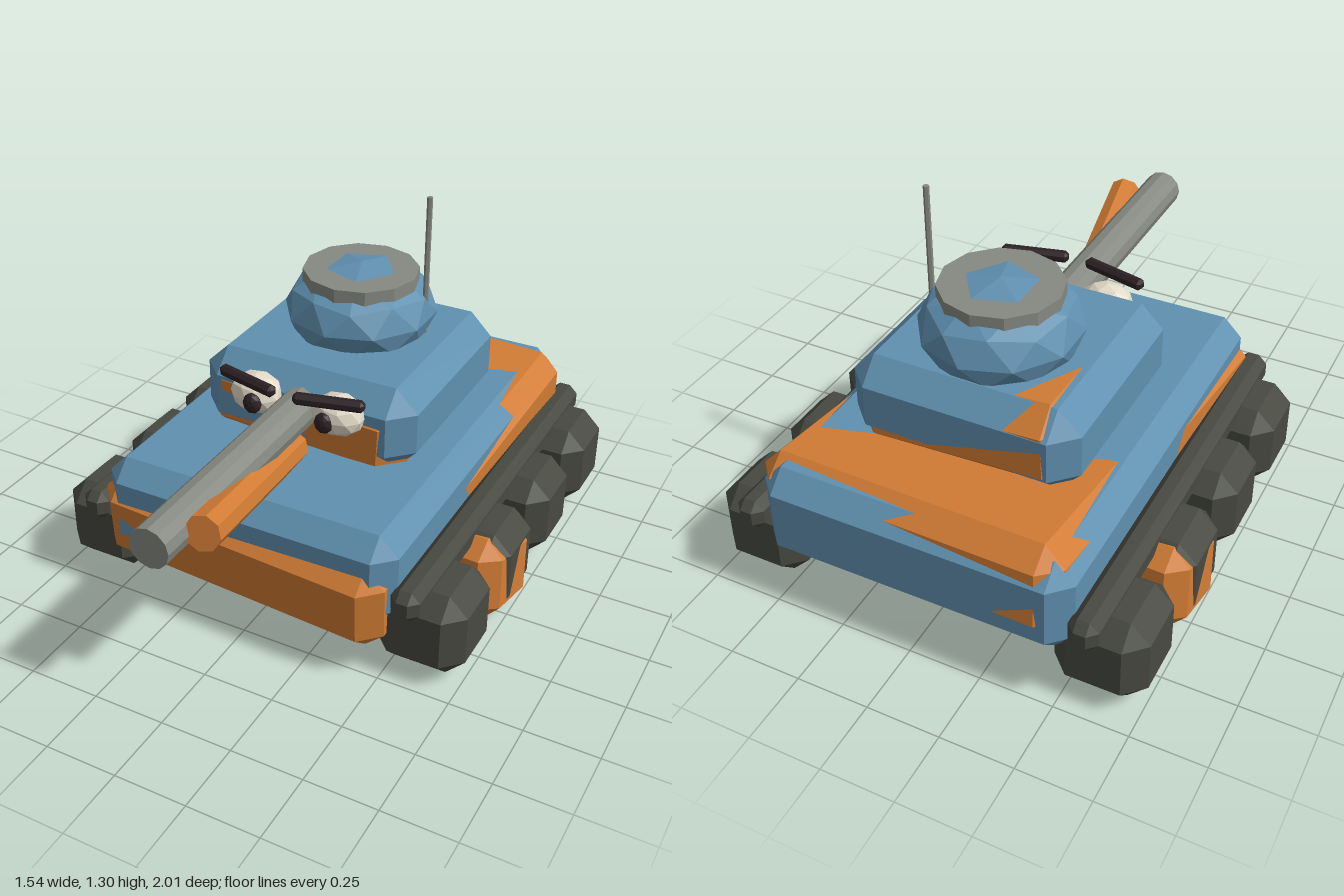
import * as THREE from 'three';
import { ConvexGeometry } from 'three/addons/geometries/ConvexGeometry.js';

const mat = (name, color) => {
  const m = new THREE.MeshStandardMaterial({ color, flatShading: true });
  m.name = name;
  return m;
};

// Box with every edge and corner cut flat by c
function chamferBox(w, h, d, c) {
  const points = [];
  for (const x of [-1, 1]) for (const y of [-1, 1]) for (const z of [-1, 1]) {
    const a = w / 2, b = h / 2, e = d / 2;
    points.push(
      new THREE.Vector3(x * a, y * (b - c), z * (e - c)),
      new THREE.Vector3(x * (a - c), y * b, z * (e - c)),
      new THREE.Vector3(x * (a - c), y * (b - c), z * e));
  }
  return new ConvexGeometry(points);
}

// Faceted ball with a vertex at the top
function facetBall(rx, ry, rz) {
  return new THREE.IcosahedronGeometry(1, 1)
    .rotateZ(Math.atan(2 / (1 + Math.sqrt(5)))).rotateY(Math.PI).scale(rx, ry, rz);
}

export function createModel() {
  const blue = mat('blue paint', 0x6090b0);
  const orange = mat('orange paint', 0xd27c34);
  const grey = mat('grey metal', 0x868a82);
  const dark = mat('dark rubber', 0x474941);
  const black = mat('black', 0x2c2124);
  const cream = mat('eye white', 0xe2dac8);

  const group = new THREE.Group();
  const add = (name, geometry, material, pos, rot = [0, 0, 0]) => {
    const mesh = new THREE.Mesh(geometry, material);
    mesh.name = name;
    mesh.position.set(...pos);
    mesh.rotation.set(...rot);
    group.add(mesh);
    return mesh;
  };
  // Cylinder between two points
  const rod = (name, from, to, r, sides, material) => {
    const a = new THREE.Vector3(...from), b = new THREE.Vector3(...to);
    const dir = b.clone().sub(a);
    const mesh = add(name, new THREE.CylinderGeometry(r, r, dir.length(), sides), material,
      a.clone().add(b).multiplyScalar(0.5).toArray());
    mesh.quaternion.setFromUnitVectors(new THREE.Vector3(0, 1, 0), dir.normalize());
  };

  // Hull and turret, each with a slightly tilted orange shell through it
  add('hull', chamferBox(1.08, 0.34, 1.52, 0.068), blue, [0, 0.36, -0.24]);
  add('hullShell', chamferBox(1.08, 0.325, 1.52, 0.068), orange, [0.003, 0.336, -0.222], [0.085, -0.043, -0.025]);
  add('turret', chamferBox(0.8, 0.305, 0.79, 0.08), blue, [0, 0.643, -0.285]);
  add('turretShell', chamferBox(0.76, 0.305, 0.79, 0.08), orange, [-0.005, 0.624, -0.284], [0.03, -0.008, -0.055]);

  // Cupola
  add('dome', facetBall(0.27, 0.17, 0.28), blue, [0, 0.857, -0.35]);
  add('hatchRing', new THREE.CylinderGeometry(0.205, 0.205, 0.05, 12), grey, [0, 0.98, -0.345]);
  rod('antenna', [0.235, 0.75, -0.375], [0.235, 1.3, -0.375], 0.01, 6, grey);

  // Guns
  rod('barrel', [0, 0.673, 0.05], [0, 0.673, 1], 0.069, 12, grey);
  rod('orangeBarrel', [0, 0.55, 0.16], [0.11, 0.69, 0.885], 0.06, 8, orange);

  for (const s of [-1, 1]) {
    // Tracks and wheels
    add('track', chamferBox(0.1, 0.108, 1.52, 0.03), dark, [s * 0.583, 0.326, -0.24]);
    for (let i = 0; i < 4; i++) {
      add('wheel', chamferBox(0.31, 0.305, 0.31, 0.065), dark, [s * 0.605, 0.188, 0.313 - i * 0.369]);
    }
    // Face
    add('eye', facetBall(0.095, 0.074, 0.075), cream, [s * 0.155, 0.7, 0.12]);
    add('pupil', facetBall(0.034, 0.038, 0.025), black, [s * 0.135, 0.695, 0.187]);
    add('brow', chamferBox(0.24, 0.04, 0.04, 0.012), black, [s * 0.152, 0.777, 0.185], [0, s * 0.24, 0]);
  }

  // Tilted orange wheels
  const wheelShell = chamferBox(0.3, 0.305, 0.29, 0.06);
  add('leftOrangeWheel', wheelShell, orange, [0.61, 0.168, -0.024], [-0.09, -0.13, 0.04]);
  add('rightOrangeWheel', wheelShell, orange, [-0.61, 0.168, -0.455], [0.1, -0.09, -0.04]);

  return group;
}
